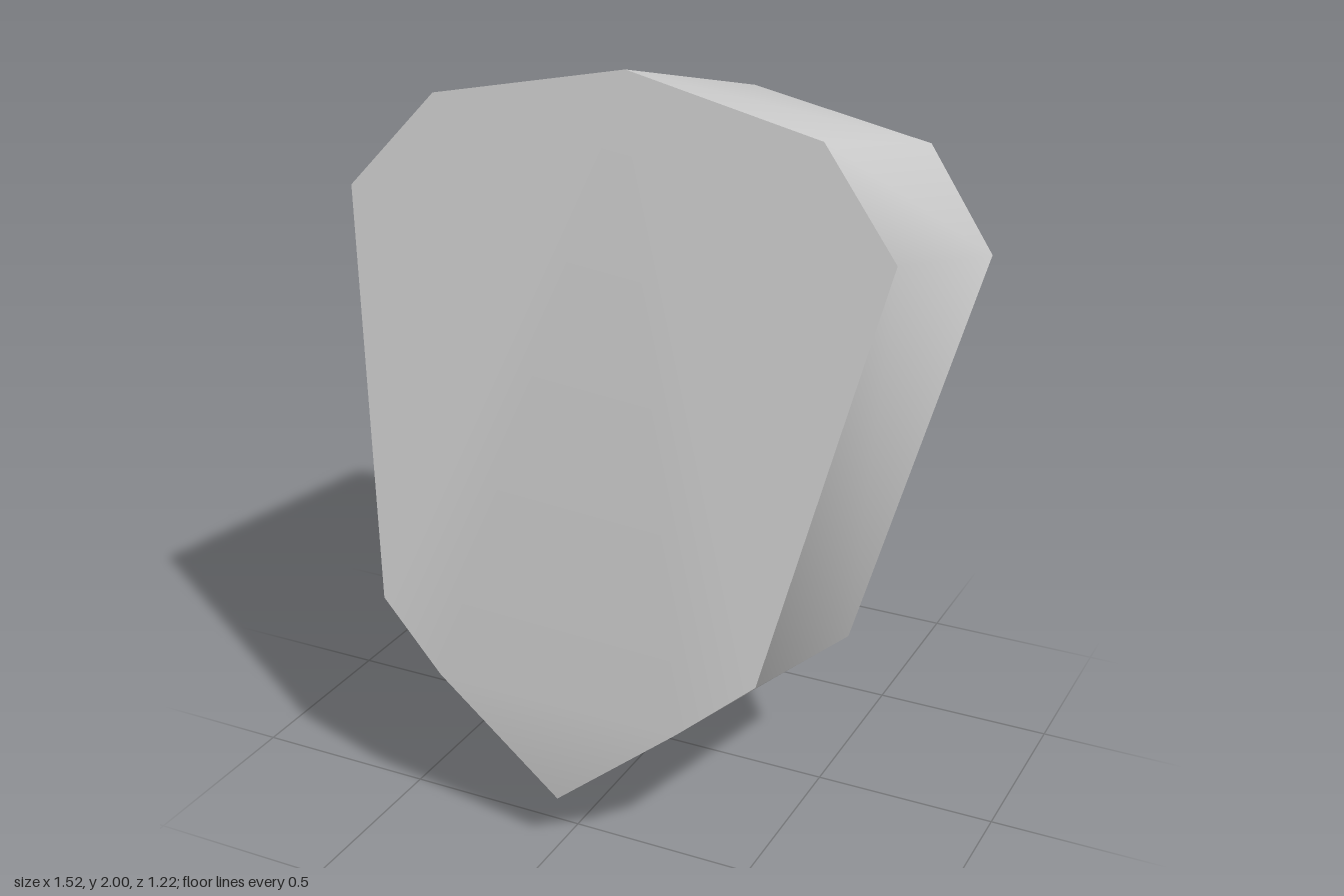
import * as THREE from 'three';
import { toCreasedNormals } from 'three/addons/utils/BufferGeometryUtils.js';

// Half outline from crown to tip: x, front y, front z, back y, back z
const HALF = [
  [0, 2, 0.19, 1.785, -0.61],
  [0.54, 1.89, 0.22, 1.69, -0.574],
  [0.76, 1.635, 0.288, 1.434, -0.474],
  [0.54, 0.595, 0.566, 0.42, -0.079],
  [0.345, 0.432, 0.61, 0.268, -0.019],
  [0, 0.145, 0.61, 0, 0.085],
];

export function createModel() {
  const group = new THREE.Group();
  group.name = 'wedgeShield';
  const grey = new THREE.MeshStandardMaterial({ color: 0xcccccc });
  grey.name = 'light grey';

  // Full outline, anticlockwise as seen from the front
  const tip = HALF.length - 1;
  const ring = [
    ...HALF.map(([x, ...rest]) => [-x, ...rest]),
    ...HALF.slice(1, tip).reverse(),
  ];
  const n = ring.length;
  const front = ring.map(([x, y, z]) => [x, y, z]);
  const back = ring.map(([x, , , y, z]) => [x, y, z]);

  const positions = [];
  const tri = (a, b, c) => positions.push(...a, ...b, ...c);

  // Sloping front face, with the upright facet at its tip
  const upper = front.filter((_, i) => i !== tip);
  for (let i = 1; i < upper.length - 1; i++) tri(upper[0], upper[i], upper[i + 1]);
  tri(front[tip - 1], front[tip], front[tip + 1]);

  // Flat back face
  for (let i = 1; i < n - 1; i++) tri(back[0], back[i + 1], back[i]);

  // Side walls
  for (let i = 0; i < n; i++) {
    const j = (i + 1) % n;
    tri(front[i], back[i], front[j]);
    tri(front[j], back[i], back[j]);
  }

  const geometry = new THREE.BufferGeometry();
  geometry.setAttribute('position', new THREE.Float32BufferAttribute(positions, 3));
  const body = new THREE.Mesh(toCreasedNormals(geometry, Math.PI / 3), grey);
  body.name = 'body';
  group.add(body);
  return group;
}
